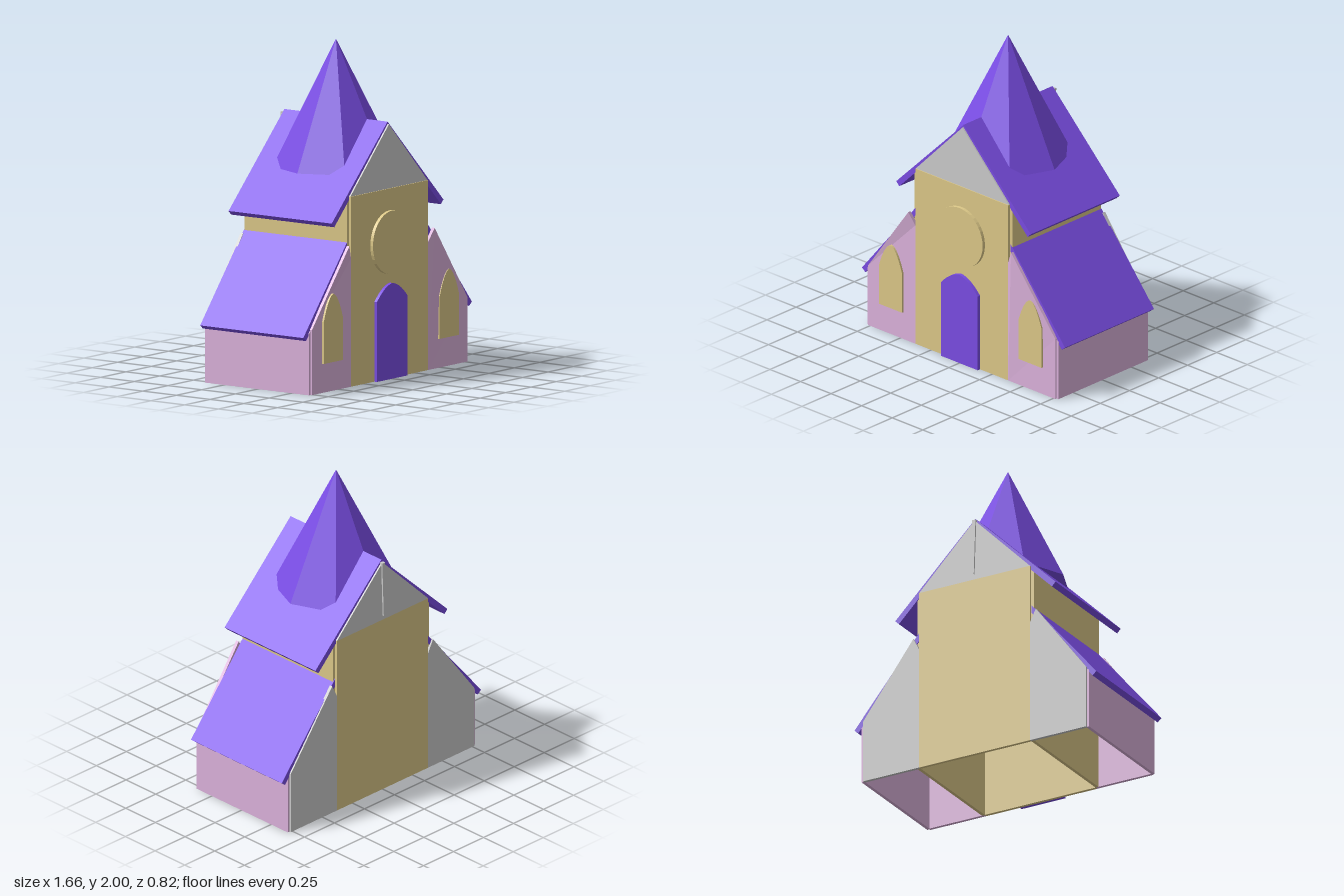
import * as THREE from 'three';

const material = (color) => new THREE.MeshStandardMaterial({ color, flatShading: true, side: THREE.DoubleSide });
const purple = material(0x7a4de4), yellow = material(0xdcc888), pink = material(0xdcb2dc), grey = material(0xcccccc);

// Closed straight-edged outline, optionally mirrored in x
const polygon = (points, s = 1) => new THREE.Shape(points.map(([x, y]) => new THREE.Vector2(x * s, y)));

// Outline with a softly pointed, arched top
function arch(cx, halfWidth, bottom, spring, top) {
  const s = new THREE.Shape();
  s.moveTo(cx - halfWidth, bottom);
  s.lineTo(cx + halfWidth, bottom);
  s.lineTo(cx + halfWidth, spring);
  s.quadraticCurveTo(cx + halfWidth * 0.5, top - 0.01, cx, top);
  s.quadraticCurveTo(cx - halfWidth * 0.5, top - 0.01, cx - halfWidth, spring);
  return s;
}

export function createModel() {
  const church = new THREE.Group();
  church.name = 'church';

  const add = (name, geometry, mat) => {
    const mesh = new THREE.Mesh(geometry, mat);
    mesh.name = name;
    church.add(mesh);
    return mesh;
  };

  // Outline in the xy plane, extruded from z0 to z1
  const slab = (name, shape, z0, z1, mat) => {
    const geometry = new THREE.ExtrudeGeometry(shape, { depth: z1 - z0, bevelEnabled: false, curveSegments: 8 });
    geometry.translate(0, 0, z0);
    return add(name, geometry, mat);
  };

  // Nave end walls and gables
  const naveWall = polygon([[-0.38, 0], [0.38, 0], [0.38, 1.14], [-0.38, 1.14]]);
  const gable = polygon([[-0.38, 1.14], [0.38, 1.14], [0, 1.525]]);
  slab('naveFrontWall', naveWall, 0.37, 0.39, yellow);
  slab('naveBackWall', naveWall, -0.4, -0.38, yellow);
  slab('frontGable', gable, 0.365, 0.385, grey);
  slab('backGable', gable, -0.4, -0.38, grey);

  // Thin wedge on the ridge of the back gable
  slab('ridgeWedge', polygon([[0, 1.17], [0.012, 1.525], [-0.012, 1.525]]), -0.41, -0.39, grey);

  const naveSide = [[0.38, 0], [0.4, 0], [0.4, 1.1], [0.38, 1.12]];
  const aisleSide = [[0.76, 0], [0.78, 0], [0.78, 0.37], [0.76, 0.39]];
  const aisleEnd = [[0.38, 0], [0.765, 0], [0.765, 0.39], [0.42, 0.85], [0.38, 0.77]];
  const mainRoof = [[0, 1.54], [0.55, 1.0], [0.525, 0.975], [0, 1.495]];
  const aisleRoof = [[0.385, 0.885], [0.83, 0.35], [0.803, 0.328], [0.385, 0.835]];

  for (const s of [-1, 1]) {
    const side = s > 0 ? 'left' : 'right';

    // Nave and aisle side walls, open underneath
    slab(side + 'NaveSideWall', polygon(naveSide, s), -0.385, 0.375, yellow);
    slab(side + 'AisleSideWall', polygon(aisleSide, s), -0.39, 0.38, pink);

    // Aisle end walls; the front one leans out towards its peak
    const front = slab(side + 'AisleFrontWall', polygon(aisleEnd, s), 0.37, 0.39, pink);
    const p = front.geometry.attributes.position;
    for (let i = 0; i < p.count; i++) if (p.getY(i) > 0.8) p.setZ(i, p.getZ(i) + 0.018);
    front.geometry.computeVertexNormals();
    slab(side + 'AisleBackWall', polygon(aisleEnd, s), -0.4, -0.38, grey);

    // Roof slopes
    slab(side + 'MainRoof', polygon(mainRoof, s), -0.39, 0.375, purple);
    slab(side + 'AisleRoof', polygon(aisleRoof, s), -0.39, 0.375, purple);

    // Arched aisle window
    slab(side + 'Window', arch(s * 0.57, 0.094, 0.175, 0.43, 0.585), 0.38, 0.403, yellow);
  }

  // Door and round window
  slab('door', arch(0, 0.15, 0, 0.48, 0.575), 0.38, 0.41, purple);
  const rose = new THREE.CylinderGeometry(0.19, 0.19, 0.03, 40);
  rose.rotateX(Math.PI / 2);
  add('roundWindow', rose, yellow).position.set(0, 0.82, 0.395);

  // Eight-sided spire
  add('spire', new THREE.ConeGeometry(0.38, 0.76, 8), purple).position.set(0, 1.62, -0.008);

  return church;
}
